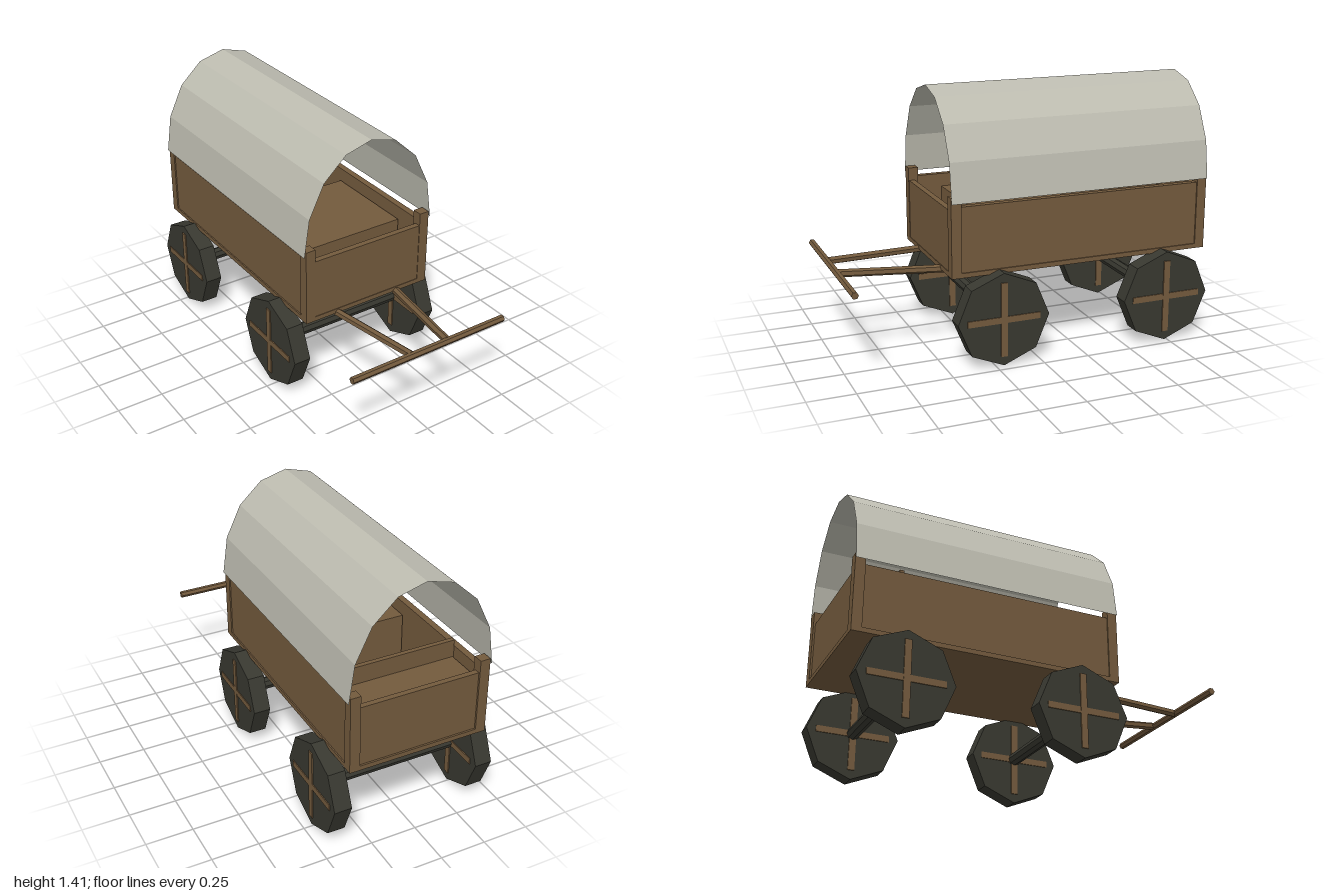
import * as THREE from 'three';

const mat = (name, color, extra = {}) =>
  Object.assign(new THREE.MeshStandardMaterial({ color, flatShading: true, ...extra }), { name });

export function createModel() {
  const wood = mat('wood', 0x735a3d);
  const dark = mat('darkWood', 0x383830);
  const canvas = mat('canvas', 0xbdbcb0, { side: THREE.DoubleSide });
  const model = new THREE.Group();
  model.name = 'coveredWagon';

  const add = (name, geometry, material, parent = model) => {
    const mesh = new THREE.Mesh(geometry, material);
    mesh.name = name;
    parent.add(mesh);
    return mesh;
  };
  // Box given by its minimum and maximum on each axis
  const box = (name, x0, x1, y0, y1, z0, z1, material = wood, parent = model) => {
    const mesh = add(name, new THREE.BoxGeometry(x1 - x0, y1 - y0, z1 - z0), material, parent);
    mesh.position.set((x0 + x1) / 2, (y0 + y1) / 2, (z0 + z1) / 2);
    return mesh;
  };
  // Round bar between two points
  const bar = (name, a, b, radius, sides, material) => {
    const dir = b.clone().sub(a);
    const mesh = add(name, new THREE.CylinderGeometry(radius, radius, dir.length(), sides), material);
    mesh.position.copy(a).add(b).multiplyScalar(0.5);
    mesh.quaternion.setFromUnitVectors(new THREE.Vector3(0, 1, 0), dir.normalize());
    return mesh;
  };
  const v = (x, y, z) => new THREE.Vector3(x, y, z);

  // Wagon bed
  box('floor', -0.38, 0.38, 0.48, 0.505, -1, 0.46);
  box('frontPanel', -0.375, 0.375, 0.5, 0.83, 0.425, 0.457);
  box('backPanel', -0.375, 0.375, 0.5, 0.83, -0.99, -0.96);
  for (const s of [-1, 1]) {
    const x = s * 0.355;
    box('sidePanel', x - 0.018, x + 0.018, 0.5, 0.85, -0.99, 0.45);
    for (const z of [0.433, -0.973])
      box('cornerPost', s * 0.3525 - 0.0275, s * 0.3525 + 0.0275, 0.5, 0.9, z - 0.027, z + 0.027);
  }

  // Load and rear bench
  box('cargoBox', -0.33, 0.33, 0.5, 0.78, -0.27, 0.27);
  box('benchSeat', -0.33, 0.33, 0.5, 0.79, -0.93, -0.755);
  box('benchBack', -0.335, 0.335, 0.5, 0.885, -0.755, -0.73);

  // Canvas cover: open half ellipse in eight flat facets
  const positions = [], index = [];
  for (let i = 0; i <= 8; i++) {
    const a = (i / 8) * Math.PI;
    for (const z of [0.46, -1]) positions.push(0.39 * Math.cos(a), 0.87 + 0.54 * Math.sin(a), z);
    if (i < 8) index.push(2 * i, 2 * i + 1, 2 * i + 2, 2 * i + 1, 2 * i + 3, 2 * i + 2);
  }
  const cover = new THREE.BufferGeometry();
  cover.setAttribute('position', new THREE.Float32BufferAttribute(positions, 3));
  cover.setIndex(index);
  cover.computeVertexNormals();
  add('canvasCover', cover, canvas);

  // Wheels with crossed spokes, and axles
  for (const z of [0.205, -0.735]) {
    bar('axle', v(-0.36, 0.253, z), v(0.36, 0.253, z), 0.034, 8, dark);
    for (const s of [-1, 1]) {
      const wheel = new THREE.Group();
      wheel.name = 'wheel';
      wheel.position.set(s * 0.403, 0.253, z);
      model.add(wheel);
      const disc = add('wheelDisc', new THREE.CylinderGeometry(0.25, 0.25, 0.094, 8), dark, wheel);
      disc.rotation.z = Math.PI / 2;
      box('uprightSpoke', -0.053, 0.053, -0.2, 0.2, -0.018, 0.018, wood, wheel);
      box('levelSpoke', -0.052, 0.052, -0.017, 0.017, -0.2, 0.2, wood, wheel);
    }
  }

  // Drawbar
  for (const s of [-1, 1])
    bar('shaft', v(s * 0.205, 0.475, 0.33), v(s * 0.11, 0.495, 0.975), 0.021, 6, wood);
  bar('crossbar', v(-0.467, 0.494, 0.981), v(0.467, 0.494, 0.981), 0.019, 6, wood);

  return model;
}
